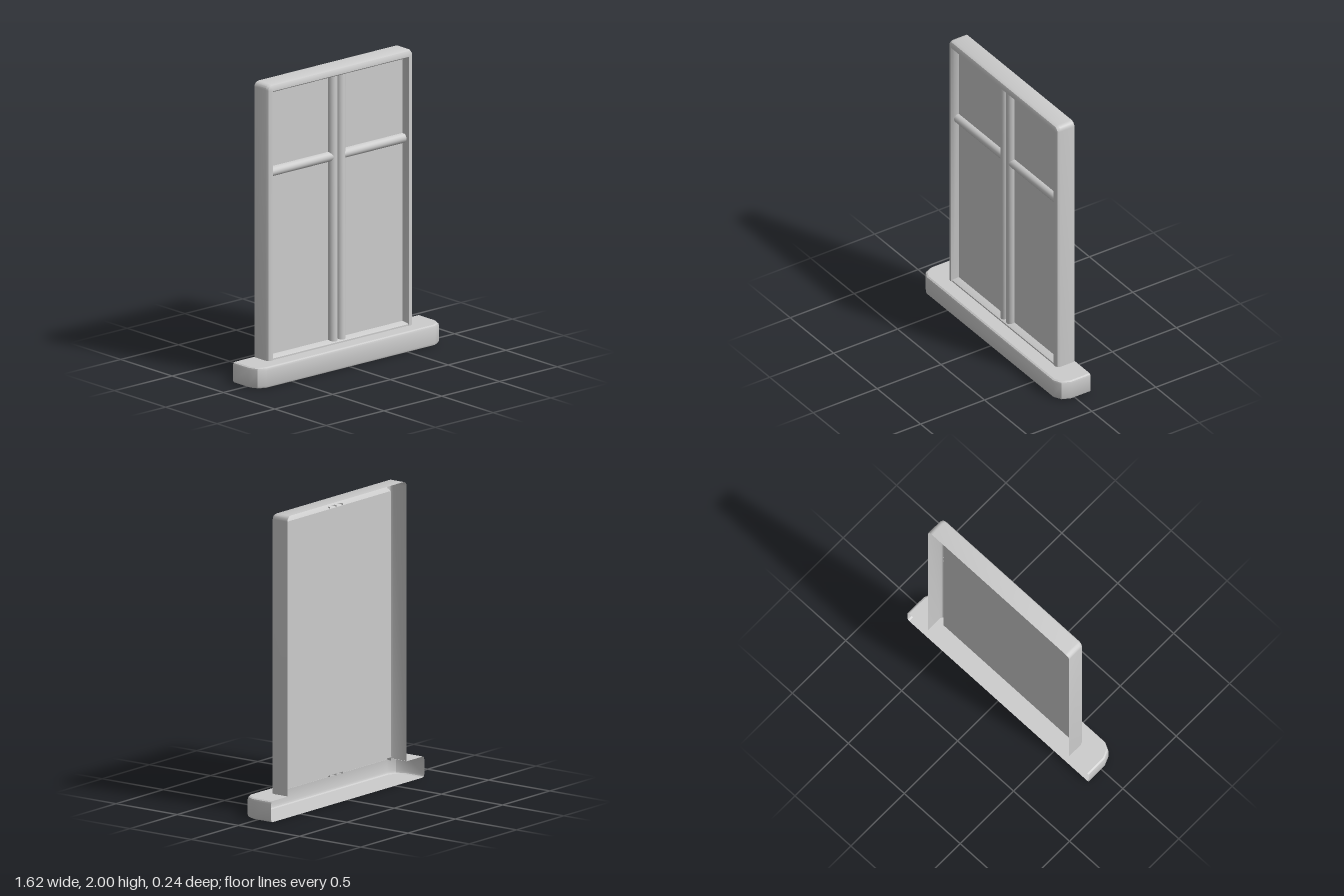
import * as THREE from 'three';
import { toCreasedNormals } from 'three/addons/utils/BufferGeometryUtils.js';

const material = new THREE.MeshStandardMaterial({ color: 0xcccccc, side: THREE.DoubleSide });

// Skin a sheet between successive open rings of [x, y, z] points
function loft(rings, crease = 0.7) {
  const n = rings[0].length;
  const index = [];
  for (let i = 0; i < rings.length - 1; i++) {
    for (let j = 0; j < n - 1; j++) {
      const a = i * n + j, b = a + n;
      index.push(a, a + 1, b, a + 1, b + 1, b);
    }
  }
  const g = new THREE.BufferGeometry();
  g.setAttribute('position', new THREE.Float32BufferAttribute(rings.flat(2), 3));
  g.setIndex(index);
  return toCreasedNormals(g, crease);
}

// Half-round section across width w, from base z to front z
function halfRound(centre, w, base, front, steps = 8) {
  return Array.from({ length: steps + 1 }, (_, i) => {
    const a = Math.PI * (1 - i / steps);
    return [centre + Math.cos(a) * w / 2, base + Math.sin(a) * (front - base)];
  });
}

// Arch outline: up the right jamb, across the head, down the left jamb
function archRing(x, top, bottom, z, r) {
  const half = [[x, bottom, z]];
  for (let i = 0; i <= 4; i++) {
    const a = (i / 4) * Math.PI / 2;
    half.push([x - r + r * Math.cos(a), top - r + r * Math.sin(a), z]);
  }
  return [...half, ...half.slice().reverse().map(([px, py, pz]) => [-px, py, pz])];
}

// Sill footprint with softened front corners, open at the back
function sillPath(inset) {
  const half = [[0.81 - inset, -0.12], [0.81 - inset, 0.03],
    [0.785 - inset, 0.09 - inset * 0.5], [0.73 - inset * 0.5, 0.12 - inset]];
  return [...half, ...half.slice().reverse().map(([x, z]) => [-x, z])];
}

function flat(points, y) {
  const shape = new THREE.Shape(points.map(([x, z]) => new THREE.Vector2(x, -z)));
  return new THREE.ShapeGeometry(shape).rotateX(-Math.PI / 2).translate(0, y, 0);
}

export function createModel() {
  const model = new THREE.Group();
  const add = (name, geometry, parent = model) => {
    const mesh = new THREE.Mesh(geometry, material);
    mesh.name = name;
    parent.add(mesh);
    return mesh;
  };
  const GLASS = -0.03;

  // Hollow sill, open behind, with a cut-out beneath the frame
  const sill = new THREE.Group();
  sill.name = 'sill';
  model.add(sill);
  const levels = [[0.014, 0], [0.004, 0.006], [0, 0.018], [0, 0.122], [0.004, 0.134], [0.014, 0.14]];
  add('sillEdge', loft(levels.map(([d, y]) => sillPath(d).map(([x, z]) => [x, y, z])), 0.6), sill);
  add('sillBottom', flat(sillPath(0.014), 0), sill);
  add('sillTop', flat([...sillPath(0.014),
    [-0.625, -0.12], [-0.625, 0], [-0.6, 0.012], [0.6, 0.012], [0.625, 0], [0.625, -0.12]], 0.14), sill);

  // Surround: outer wall, rounded front edge, front face and sloping rebate
  const frame = new THREE.Group();
  frame.name = 'frame';
  model.add(frame);
  add('frameSurround', loft([
    archRing(0.63, 2, 0.14, -0.115, 0.035),
    archRing(0.63, 2, 0.14, -0.006, 0.035),
    archRing(0.622, 1.992, 0.14, 0.012, 0.03),
    archRing(0.604, 1.974, 0.14, 0.02, 0.015),
    archRing(0.59, 1.955, 0.14, 0.02, 0.002),
    archRing(0.585, 1.945, 0.14, 0.005, 0.002),
    archRing(0.575, 1.932, 0.14, GLASS, 0.002),
  ], 0.6), frame);
  const rail = [[0.14, 0.015], [0.15, 0.015], [0.155, 0.005], [0.165, GLASS]];
  add('bottomRail', loft([-0.59, 0.59].map(x => rail.map(([y, z]) => [x, y, z]))), frame);

  // Glass sheet set back in the rebate
  add('glass', new THREE.PlaneGeometry(1.152, 1.77).translate(0, 1.048, GLASS));

  // Paired meeting stiles and a crossbar on each side
  for (const s of [-1, 1]) {
    const side = s > 0 ? 'left' : 'right';
    const stile = halfRound(s * 0.034, 0.068, GLASS, 0.008);
    add(side + 'MeetingStile', loft([0.15, 1.945].map(y => stile.map(([x, z]) => [x, y, z])), 1));
    const bar = halfRound(1.4, 0.066, GLASS, 0.005);
    const ends = [s * 0.04, s * 0.58].sort((a, b) => a - b);
    add(side + 'Crossbar', loft(ends.map(x => bar.map(([y, z]) => [x, y, z])).reverse(), 1));
  }

  // Make every sheet face the outside or front
  model.traverse(o => {
    if (!o.isMesh || !/MeetingStile|Crossbar|bottomRail|frameSurround|sillEdge/.test(o.name)) return;
    const g = o.geometry, p = g.attributes.position, n = g.attributes.normal;
    let sum = 0;
    for (let i = 0; i < p.count; i++) sum += n.getZ(i);
    if (sum >= 0) return;
    for (const attr of [p, n]) {
      for (let i = 0; i < attr.count; i += 3) {
        const a = new THREE.Vector3().fromBufferAttribute(attr, i + 1);
        const b = new THREE.Vector3().fromBufferAttribute(attr, i + 2);
        attr.setXYZ(i + 1, b.x, b.y, b.z);
        attr.setXYZ(i + 2, a.x, a.y, a.z);
      }
    }
    for (let i = 0; i < n.count; i++) n.setXYZ(i, -n.getX(i), -n.getY(i), -n.getZ(i));
  });
  return model;
}
